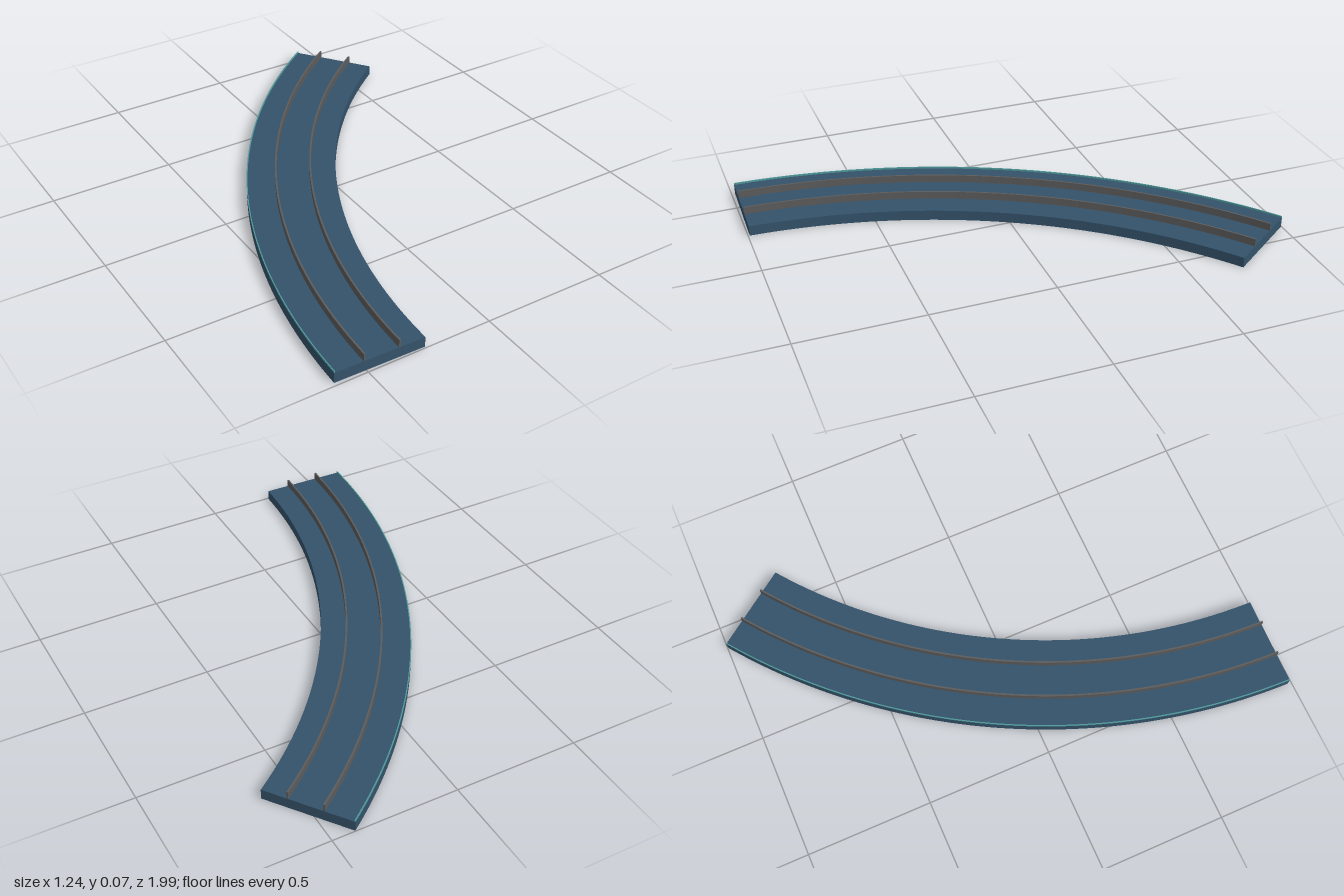
import * as THREE from 'three';

// Shared centre and angular range of the bend
const CX = 1.91, CZ = 1.045;
const START = Math.PI - THREE.MathUtils.degToRad(1.35);
const END = Math.PI - THREE.MathUtils.degToRad(53.7);

// Closed solid following the bend between two radii and two heights
function arcBand(name, inner, outer, bottom, top, material) {
  const shape = new THREE.Shape();
  shape.absarc(CX, -CZ, outer, START, END, true);
  shape.absarc(CX, -CZ, inner, END, START, false);
  const geometry = new THREE.ExtrudeGeometry(shape, {
    depth: top - bottom, bevelEnabled: false, curveSegments: 40,
  });
  geometry.rotateX(-Math.PI / 2);
  geometry.translate(0, bottom, 0);
  const mesh = new THREE.Mesh(geometry, material);
  mesh.name = name;
  return mesh;
}

export function createModel() {
  const group = new THREE.Group();
  group.name = 'curvedTrack';
  const bed = new THREE.MeshStandardMaterial({ color: 0x34526a });
  const steel = new THREE.MeshStandardMaterial({ color: 0x5c5c5c });
  const trim = new THREE.MeshStandardMaterial({ color: 0x4f9a9c });

  // Flat track bed
  group.add(arcBand('trackBed', 2.178, 2.535, 0, 0.042, bed));

  // Two thin upright rails
  [['innerRail', 2.28], ['outerRail', 2.418]].forEach(([name, r]) => {
    group.add(arcBand(name, r - 0.0035, r + 0.0035, 0.041, 0.073, steel));
  });

  // Narrow raised trim along the outer edge
  group.add(arcBand('outerTrim', 2.531, 2.535, 0.042, 0.049, trim));

  return group;
}
